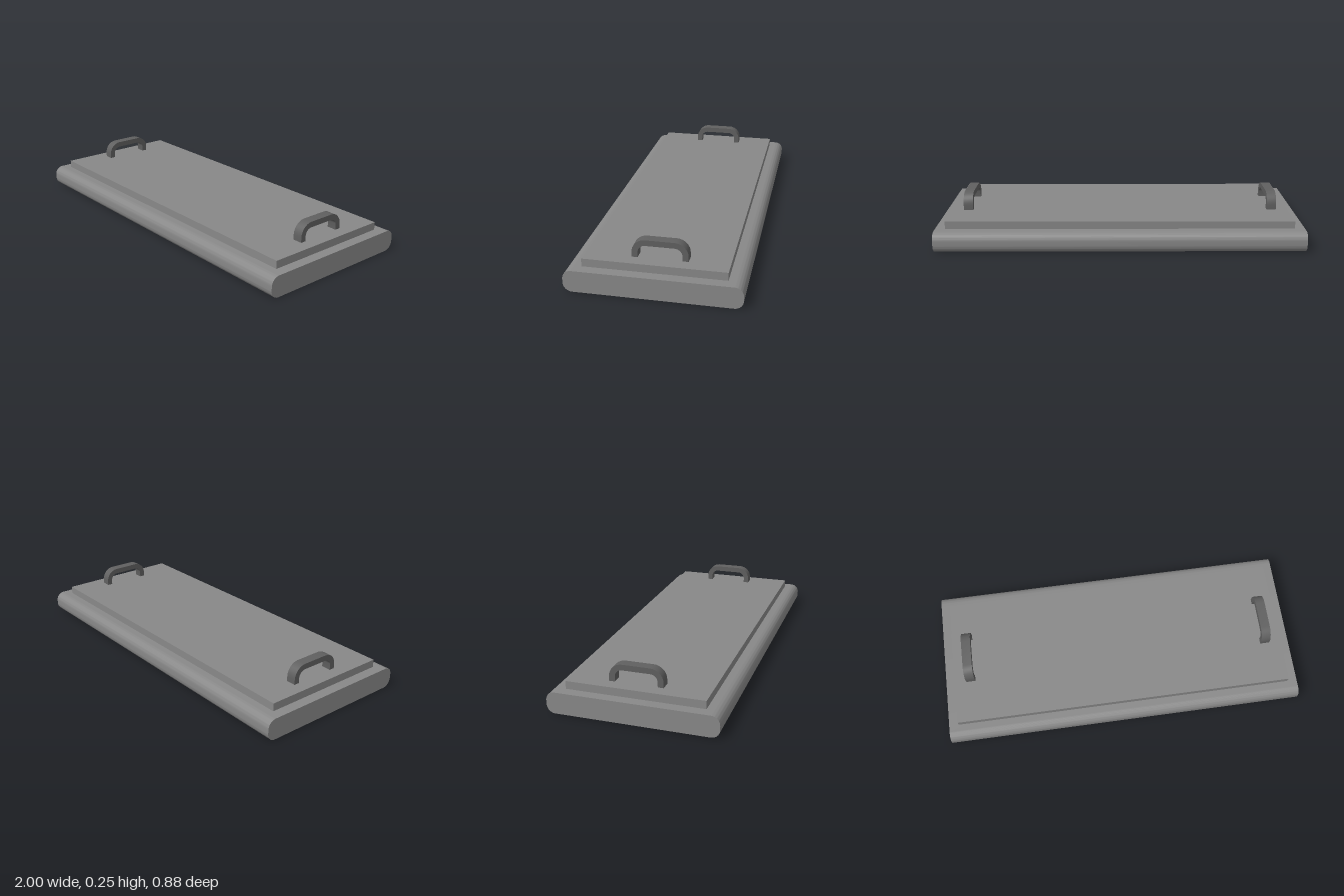
import * as THREE from 'three';
import { toCreasedNormals } from 'three/addons/utils/BufferGeometryUtils.js';

const boardMaterial = new THREE.MeshStandardMaterial({ color: 0x888888 });
const handleMaterial = new THREE.MeshStandardMaterial({ color: 0x606060 });

// Extrudes a side profile (u = -z, v = y) along x, centred on the given x
function sideExtrude(name, shape, width, x, curveSegments, material) {
  const geometry = new THREE.ExtrudeGeometry(shape, { depth: width, bevelEnabled: false, curveSegments });
  geometry.translate(0, 0, -width / 2).rotateY(Math.PI / 2);
  const mesh = new THREE.Mesh(toCreasedNormals(geometry, 0.6), material);
  mesh.name = name;
  mesh.position.x = x;
  return mesh;
}

// Slab profile with rounded long edges
function slabProfile(halfDepth, height, r) {
  const s = new THREE.Shape();
  s.absarc(halfDepth - r, r, r, -Math.PI / 2, 0);
  s.absarc(halfDepth - r, height - r, r, 0, Math.PI / 2);
  s.absarc(-halfDepth + r, height - r, r, Math.PI / 2, Math.PI);
  s.absarc(-halfDepth + r, r, r, Math.PI, Math.PI * 1.5);
  s.closePath();
  return s;
}

// Arched grip profile: outer outline up and over, inner outline back
function handleProfile(u0, u1, bottom, top, t, r) {
  const s = new THREE.Shape();
  const ri = r - t;
  s.moveTo(u1, bottom);
  s.lineTo(u1, top - r);
  s.absarc(u1 - r, top - r, r, 0, Math.PI / 2);
  s.absarc(u0 + r, top - r, r, Math.PI / 2, Math.PI);
  s.lineTo(u0, bottom);
  s.lineTo(u0 + t, bottom);
  s.absarc(u0 + r, top - r, ri, Math.PI, Math.PI / 2, true);
  s.absarc(u1 - r, top - r, ri, Math.PI / 2, 0, true);
  s.lineTo(u1 - t, bottom);
  s.closePath();
  return s;
}

export function createModel() {
  const group = new THREE.Group();
  group.name = 'handledBoard';

  // Rounded base slab
  group.add(sideExtrude('baseSlab', slabProfile(0.438, 0.113, 0.045), 2, 0, 5, boardMaterial));

  // Raised top plate
  const plate = new THREE.Mesh(new THREE.BoxGeometry(1.89, 0.045, 0.714), boardMaterial);
  plate.name = 'topPlate';
  plate.position.y = 0.1325;
  group.add(plate);

  // Grip at each end, set slightly towards the back
  for (const side of [-1, 1]) {
    const name = side > 0 ? 'leftHandle' : 'rightHandle';
    const profile = handleProfile(-0.125, 0.155, 0.15, 0.249, 0.03, 0.068);
    group.add(sideExtrude(name, profile, 0.052, side * 0.853, 4, handleMaterial));
  }
  return group;
}
